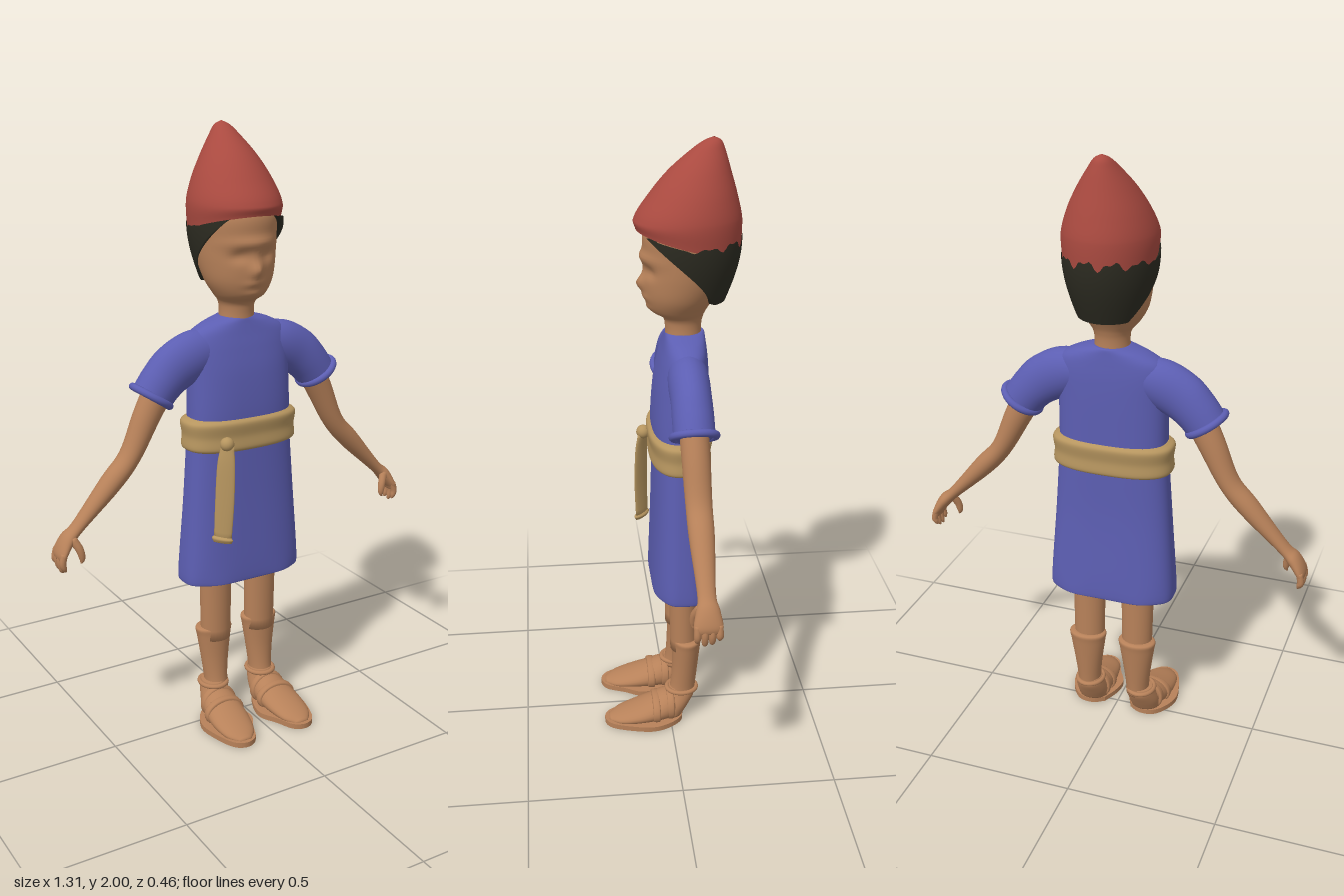
import * as THREE from 'three';
import { ParametricGeometry } from 'three/addons/geometries/ParametricGeometry.js';

const mat = (name, color, side = THREE.FrontSide) => {
  const m = new THREE.MeshStandardMaterial({ color, side });
  m.name = name;
  return m;
};
const UP = new THREE.Vector3(0, 1, 0);

// Smooth tube through rows of [x, y, z, radiusA, radiusB, squareness].
// radiusB lies along ref; a fixed axis keeps all rings parallel.
function sweep(rows, { ref = [0, 0, 1], axis = null, sides = 28, steps = 6, open = false, warp = null } = {}) {
  const path = new THREE.CatmullRomCurve3(rows.map(r => new THREE.Vector3(r[0], r[1], r[2])), false, 'catmullrom');
  const radii = new THREE.CatmullRomCurve3(rows.map(r => new THREE.Vector3(r[3], r[4], r[5] || 2)), false, 'catmullrom');
  const count = (rows.length - 1) * steps, pos = [], index = [];
  const pow = (v, e) => Math.sign(v) * Math.abs(v) ** (2 / e);
  for (let j = 0; j <= count; j++) {
    const t = j / count, c = path.getPoint(t), r = radii.getPoint(t);
    const T = axis || path.getTangent(t);
    const N = new THREE.Vector3(...ref);
    N.addScaledVector(T, -N.dot(T)).normalize();
    const B = new THREE.Vector3().crossVectors(T, N);
    for (let i = 0; i < sides; i++) {
      const a = (i / sides) * Math.PI * 2;
      const p = c.clone()
        .addScaledVector(B, Math.max(r.x, 0.001) * pow(Math.cos(a), r.z))
        .addScaledVector(N, Math.max(r.y, 0.001) * pow(Math.sin(a), r.z));
      if (warp) warp(p, a, t);
      pos.push(p.x, p.y, p.z);
      if (j < count) {
        const k = j * sides + i, n = j * sides + (i + 1) % sides;
        index.push(k, k + sides, n, n, k + sides, n + sides);
      }
    }
  }
  if (!open) {
    for (const [row, flip] of [[0, false], [count, true]]) {
      const c = path.getPoint(row / count), k = pos.length / 3;
      pos.push(c.x, c.y, c.z);
      for (let i = 0; i < sides; i++) {
        const a = row * sides + i, b = row * sides + (i + 1) % sides;
        index.push(...(flip ? [k, b, a] : [k, a, b]));
      }
    }
  }
  const g = new THREE.BufferGeometry();
  g.setAttribute('position', new THREE.Float32BufferAttribute(pos, 3));
  g.setIndex(index);
  g.computeVertexNormals();
  return g;
}

export function createModel() {
  const skin = mat('skin', 0xb78159);
  const cloth = mat('blue cloth', 0x5c5eb2, THREE.DoubleSide);
  const felt = mat('red felt', 0xaa4a40, THREE.DoubleSide);
  const sashCloth = mat('tan sash', 0xb6955f);
  const hairMat = mat('dark hair', 0x2c2b21, THREE.DoubleSide);

  const model = new THREE.Group();
  model.name = 'figure';
  const add = (name, geometry, material, parent = model) => {
    const m = new THREE.Mesh(geometry, material);
    m.name = name;
    parent.add(m);
    return m;
  };

  // Head and neck, with brow, sockets, nose, lips and chin pushed out of the face
  const bump = (v, c, w) => Math.exp(-(((v - c) / w) ** 2));
  const face = p => {
    if (p.z < 0) return;
    const { x, y } = p;
    p.z += 0.012 * bump(y, 1.645, 0.018) * bump(x, 0, 0.09)
      - 0.013 * bump(y, 1.605, 0.02) * bump(Math.abs(x), 0.05, 0.03)
      + 0.022 * bump(y, 1.56, 0.025) * bump(x, 0, 0.02)
      + 0.007 * bump(y, 1.518, 0.012) * bump(x, 0, 0.035)
      + 0.006 * bump(y, 1.485, 0.012) * bump(x, 0, 0.03);
  };
  add('head', sweep([
    [0, 1.36, -0.05, 0.06, 0.058], [0, 1.42, -0.05, 0.056, 0.057], [0, 1.45, -0.048, 0.062, 0.064],
    [0, 1.475, -0.035, 0.083, 0.088], [0, 1.52, -0.04, 0.109, 0.11], [0, 1.58, -0.053, 0.124, 0.128],
    [0, 1.65, -0.062, 0.131, 0.137], [0, 1.72, -0.063, 0.133, 0.137], [0, 1.78, -0.07, 0.105, 0.11],
  ], { axis: UP, sides: 64, steps: 8, warp: face }), skin);

  // Pointed hat with a rim that dips toward the back
  const rim = z => 1.705 + 0.25 * z;
  add('hat', sweep([
    [0, 1.70, -0.064, 0.142, 0.161], [0, 1.76, -0.063, 0.146, 0.165], [0, 1.83, -0.078, 0.124, 0.135],
    [0, 1.90, -0.097, 0.087, 0.096], [0, 1.96, -0.122, 0.046, 0.053], [0, 1.988, -0.136, 0.024, 0.027],
    [0, 2.0, -0.14, 0.002, 0.002],
  ], {
    axis: UP, sides: 48, steps: 8, open: true,
    warp: p => {
      const k = THREE.MathUtils.clamp((1.76 - p.y) / 0.06, 0, 1);
      p.y += k * (rim(p.z) - 1.70);
    },
  }), felt);

  // Hair wraps the back of the head, ragged where it overlaps the hat
  add('hair', new ParametricGeometry((u, v, out) => {
    const a = (u - 0.5) * 4.9, c = Math.cos(a), z0 = -0.06 - 0.17 * c;
    const rag = 0.009 * Math.sin(a * 11) + 0.006 * Math.sin(a * 23 + 1);
    const top = rim(z0) + 0.05 * Math.max(0, c) + rag * Math.max(0, c + 0.3);
    const low = Math.min(top, 1.505 + Math.max(0, z0 + 0.17) * 0.9);
    const w = Math.min(v / 0.9, 1), y = top + (low - top) * w;
    const s = THREE.MathUtils.clamp((y - 1.5) / 0.2, 0, 1);
    const f = (0.7 + 0.3 * Math.sin(s * Math.PI / 2)) * (v > 0.9 ? 1 - (v - 0.9) * 2 : 1);
    out.set(0.147 * f * Math.sin(a), y, -0.06 - 0.17 * f * c);
  }, 80, 20), hairMat);

  // Tunic body, open skirt with a wavy hem
  add('tunicBody', sweep([
    [0, 0.98, -0.04, 0.18, 0.088, 2.6], [0, 1.1, -0.038, 0.18, 0.09, 2.6], [0, 1.22, -0.042, 0.18, 0.086, 2.5],
    [0, 1.3, -0.048, 0.184, 0.078, 2.4], [0, 1.35, -0.052, 0.172, 0.07, 2.3], [0, 1.38, -0.054, 0.125, 0.065, 2.2],
    [0, 1.397, -0.055, 0.075, 0.062], [0, 1.402, -0.055, 0.058, 0.058],
  ], { axis: UP, sides: 48 }), cloth);
  add('skirt', sweep([
    [0, 0.53, -0.04, 0.196, 0.086, 2.8], [0, 0.515, -0.04, 0.208, 0.096, 2.8], [0, 0.55, -0.04, 0.216, 0.1, 2.8],
    [0, 0.8, -0.037, 0.198, 0.089, 2.7], [0, 1.0, -0.038, 0.184, 0.086, 2.6],
  ], {
    axis: UP, sides: 64, open: true,
    warp: (p, a, t) => {
      const k = Math.max(0, 1 - t * 1.8);
      p.y += k * (0.007 * Math.sin(a * 3) - 0.012 * Math.sin(a) * Math.cos(a * 2));
      p.z += k * 0.006 * Math.sin(a * 7);
    },
  }), cloth);

  // Belt with a knot and a hanging end turned edgeways
  add('belt', sweep([
    [0, 0.972, -0.038, 0.18, 0.085, 2.6], [0, 0.985, -0.038, 0.2, 0.1, 2.6], [0, 1.025, -0.038, 0.198, 0.098, 2.6],
    [0, 1.068, -0.038, 0.202, 0.103, 2.6], [0, 1.084, -0.038, 0.18, 0.087, 2.6],
  ], { axis: UP, sides: 56 }), sashCloth);
  const knot = add('beltKnot', new THREE.SphereGeometry(0.023, 20, 14), sashCloth);
  knot.position.set(-0.105, 1.012, 0.07);
  const turned = [0.7, 0, 0.7];
  add('hangingSash', sweep([
    [-0.105, 1.005, 0.072, 0.009, 0.022], [-0.113, 0.94, 0.076, 0.008, 0.03], [-0.12, 0.82, 0.078, 0.007, 0.032],
    [-0.126, 0.695, 0.075, 0.008, 0.03],
  ], { ref: turned, sides: 16 }), sashCloth);
  add('sashEnd', sweep([
    [-0.126, 0.7, 0.075, 0.008, 0.03], [-0.127, 0.692, 0.075, 0.014, 0.036], [-0.128, 0.68, 0.075, 0.008, 0.03],
  ], { ref: turned, sides: 16 }), sashCloth);

  for (const s of [1, -1]) {
    const side = s > 0 ? 'left' : 'right';
    const M = rows => rows.map(r => [s * r[0], ...r.slice(1)]);

    // Sleeve and rolled cuff
    add(side + 'Sleeve', sweep(M([
      [0.07, 1.305, -0.052, 0.06, 0.058], [0.155, 1.288, -0.05, 0.08, 0.064], [0.225, 1.255, -0.05, 0.08, 0.063],
      [0.272, 1.215, -0.05, 0.073, 0.064], [0.312, 1.166, -0.05, 0.068, 0.064],
    ])), cloth);
    const cuff = add(side + 'Cuff', new THREE.TorusGeometry(0.066, 0.012, 12, 36), cloth);
    cuff.position.set(s * 0.311, 1.172, -0.05);
    cuff.quaternion.setFromUnitVectors(new THREE.Vector3(0, 0, 1), new THREE.Vector3(s * 0.55, -0.835, 0).normalize());

    // Arm running into the palm
    add(side + 'Arm', sweep(M([
      [0.28, 1.2, -0.05, 0.05, 0.045], [0.33, 1.105, -0.053, 0.044, 0.044], [0.39, 0.985, -0.055, 0.034, 0.041],
      [0.46, 0.905, -0.056, 0.034, 0.039], [0.575, 0.785, -0.056, 0.02, 0.028], [0.612, 0.75, -0.056, 0.022, 0.036],
      [0.637, 0.712, -0.055, 0.017, 0.044], [0.643, 0.69, -0.055, 0.01, 0.04],
    ])), skin);
    for (let i = 0; i < 4; i++) {
      const z = -0.088 + i * 0.022, tip = 0.645 + [0.016, 0.004, 0, 0.01][i];
      add(side + 'Finger' + (i + 1), sweep(M([
        [0.638, 0.715, z, 0.011, 0.01], [0.645, 0.685, z, 0.011, 0.011],
        [0.641, tip + 0.012, z, 0.009, 0.0095], [0.636, tip, z, 0.003, 0.003],
      ]), { sides: 10, steps: 4 }), skin);
    }
    add(side + 'Thumb', sweep(M([
      [0.605, 0.755, -0.035, 0.014, 0.014], [0.588, 0.722, -0.02, 0.013, 0.013],
      [0.582, 0.692, -0.016, 0.01, 0.01], [0.586, 0.676, -0.015, 0.003, 0.003],
    ]), { sides: 12, steps: 4 }), skin);

    // Leg and flared shin wrap
    add(side + 'Leg', sweep(M([
      [0.087, 0.66, -0.045, 0.06, 0.05], [0.087, 0.5, -0.045, 0.056, 0.047], [0.087, 0.28, -0.048, 0.052, 0.046],
    ]), { axis: UP.clone().negate() }), skin);
    add(side + 'ShinWrap', sweep(M([
      [0.09, 0.095, -0.04, 0.04, 0.046], [0.09, 0.14, -0.046, 0.041, 0.043], [0.09, 0.21, -0.052, 0.049, 0.044],
      [0.09, 0.29, -0.056, 0.061, 0.048], [0.09, 0.318, -0.057, 0.065, 0.05], [0.09, 0.325, -0.055, 0.05, 0.042],
    ]), { axis: UP }), skin);

    // Sandal: sole, foot, heel and straps
    const foot = new THREE.Group();
    foot.name = side + 'Sandal';
    foot.position.x = s > 0 ? -0.008 : -0.006;
    model.add(foot);
    const outline = new THREE.Shape(new THREE.SplineCurve([
      [0.05, -0.02], [0.09, -0.042], [0.14, -0.035], [0.178, 0.01], [0.195, 0.07], [0.18, 0.15], [0.155, 0.21],
      [0.115, 0.23], [0.075, 0.21], [0.048, 0.15], [0.02, 0.095], [0.025, 0.04], [0.05, -0.02],
    ].map(([x, z]) => new THREE.Vector2(s * x, -z))).getPoints(72));
    const sole = new THREE.ExtrudeGeometry(outline, { depth: 0.018, bevelEnabled: false });
    sole.rotateX(-Math.PI / 2);
    add(side + 'Sole', sole, skin, foot);
    const footRows = [
      [0.098, 0.04, -0.035, 0.035, 0.025], [0.1, 0.055, 0.0, 0.058, 0.052], [0.105, 0.044, 0.05, 0.066, 0.044],
      [0.11, 0.033, 0.11, 0.066, 0.032], [0.113, 0.022, 0.175, 0.052, 0.02], [0.114, 0.016, 0.215, 0.02, 0.008],
    ];
    add(side + 'Foot', sweep(M(footRows), { ref: [0, 1, 0] }), skin, foot);
    add(side + 'Heel', sweep(M([
      [0.1, 0.02, 0.0, 0.052, 0.045], [0.098, 0.06, -0.018, 0.054, 0.05], [0.096, 0.1, -0.038, 0.046, 0.05],
      [0.096, 0.125, -0.042, 0.04, 0.044],
    ]), { axis: UP }), skin, foot);
    for (const k of [1, 2]) {
      const [x, y, z, a, b] = footRows[k];
      add(side + 'Strap' + k, sweep(M([
        [x, y, z - 0.012, a, b], [x, y, z - 0.008, a + 0.006, b + 0.008],
        [x, y, z + 0.01, a + 0.006, b + 0.006], [x, y, z + 0.014, a, b],
      ]), { ref: [0, 1, 0], steps: 3, warp: p => { p.y = Math.max(p.y, 0.005); } }), skin, foot);
    }
    const band = add(side + 'AnkleBand', new THREE.TorusGeometry(0.045, 0.008, 10, 32), skin, foot);
    band.rotation.x = Math.PI / 2;
    band.scale.y = 1.12;
    band.position.set(s * 0.096, 0.115, -0.041);
  }
  return model;
}
